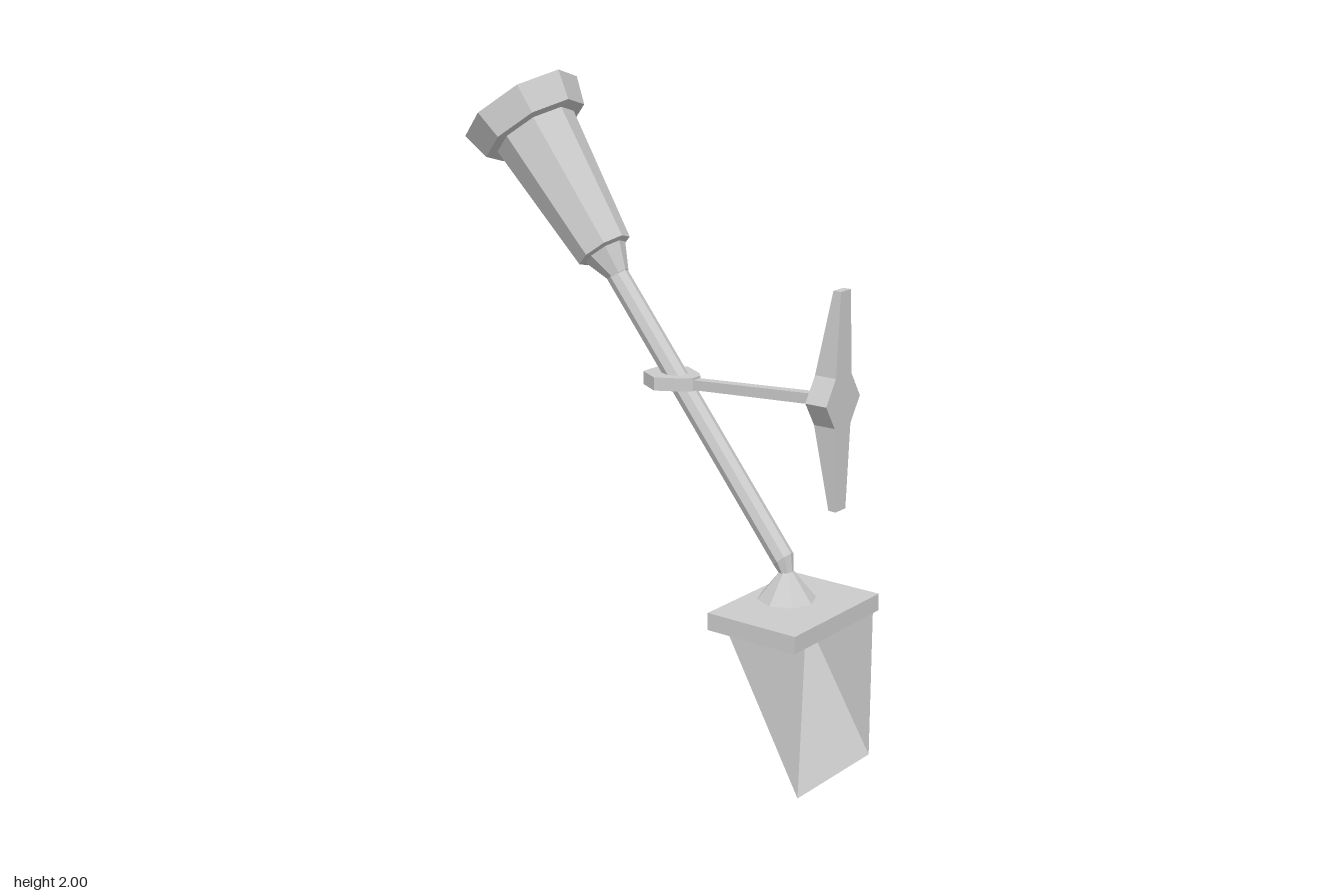
import * as THREE from 'three';

const V = (x, y, z) => new THREE.Vector3(x, y, z);
const material = new THREE.MeshStandardMaterial({ color: 0xcccccc, flatShading: true });
const openMaterial = new THREE.MeshStandardMaterial({ color: 0xcccccc, flatShading: true, side: THREE.DoubleSide });

function fromTriangles(points) {
  const geometry = new THREE.BufferGeometry().setFromPoints(points);
  geometry.computeVertexNormals();
  return geometry;
}

// Skin through matching rings (counter-clockwise seen from the last ring's end), capped at both ends
function loft(rings) {
  const out = [], n = rings[0].length, last = rings[rings.length - 1];
  for (let i = 0; i < rings.length - 1; i++) {
    for (let j = 0; j < n; j++) {
      const k = (j + 1) % n;
      const a = rings[i][j], b = rings[i][k], c = rings[i + 1][k], d = rings[i + 1][j];
      out.push(a, b, c, a, c, d);
    }
  }
  for (let j = 1; j < n - 1; j++) {
    out.push(rings[0][0], rings[0][j + 1], rings[0][j], last[0], last[j], last[j + 1]);
  }
  return fromTriangles(out);
}

// Octagonal ring centred at (x, y), leaning by tilt about z
function octagon(x, y, r, tilt) {
  return Array.from({ length: 8 }, (_, i) => {
    const t = (i * Math.PI) / 4;
    return V(r * Math.cos(t), 0, -r * Math.sin(t)).applyAxisAngle(V(0, 0, 1), tilt).add(V(x, y, 0));
  });
}

export function createModel() {
  const model = new THREE.Group();
  const add = (name, geometry, mat = material) => {
    const mesh = new THREE.Mesh(geometry, mat);
    mesh.name = name;
    model.add(mesh);
    return mesh;
  };
  const TILT = 0.674;

  // Flared cup with rim, recessed floor and lower neck; its local origin is the rim centre
  const cupProfile = [
    [0, -0.61], [0.033, -0.61], [0.068, -0.528], [0.087, -0.522], [0.132, -0.092],
    [0.17, -0.09], [0.194, 0], [0.18, 0], [0.147, -0.062], [0, -0.062],
  ].map(([r, y]) => new THREE.Vector2(r, y));
  const cup = add('torchCup', new THREE.LatheGeometry(cupProfile, 8));
  cup.position.set(-0.52, 1.88, 0);
  cup.rotation.z = TILT;

  // Slanted pole, bent upright where it meets its foot
  add('pole', loft([
    octagon(0.49, 0.59, 0.02, 0),
    octagon(0.476, 0.637, 0.034, TILT),
    octagon(-0.145, 1.405, 0.034, TILT),
  ]));
  const foot = add('poleFoot', new THREE.CylinderGeometry(0.02, 0.088, 0.085, 8));
  foot.position.set(0.49, 0.56, 0);

  // Hexagonal collar drawn out towards the arm
  const half = [[-0.013, 0.042], [0.06, 0.083], [0.133, 0.042], [0.155, 0.018]];
  const outline = [...half, ...half.map(([x, z]) => [x, -z]).reverse()];
  const collar = add('collar', new THREE.ExtrudeGeometry(
    new THREE.Shape(outline.map(([x, z]) => new THREE.Vector2(x, z))),
    { depth: 0.04, bevelEnabled: false }));
  collar.rotation.x = -Math.PI / 2;
  collar.position.y = 1.095;

  // Arm from collar to wall plate
  const armRing = (x, y, h, w) => [V(x, y + h, w), V(x, y - h, w), V(x, y - h, -w), V(x, y + h, -w)];
  add('arm', loft([armRing(0.14, 1.112, 0.015, 0.016), armRing(0.62, 1.144, 0.016, 0.016)]));

  // Wall plate, thick and pointed at the middle, thin at the ends: y, half width, front x
  add('wallPlate', loft([
    [0.825, 0.025, 0.645], [1.075, 0.04, 0.6], [1.147, 0.086, 0.6],
    [1.22, 0.04, 0.6], [1.465, 0.025, 0.645],
  ].map(([y, w, x]) => [V(0.67, y, -w), V(x, y, -w), V(x, y, w), V(0.67, y, w)])));

  // Shelf slab
  const slab = add('shelf', new THREE.BoxGeometry(0.305, 0.053, 0.44));
  slab.position.set(0.5175, 0.4815, 0);

  // Wedge bracket below the shelf, open towards the wall
  const fa = V(0.39, 0.457, 0.168), fb = V(0.67, 0.457, 0.168), fc = V(0.67, 0, 0.19);
  const ba = V(0.39, 0.457, -0.19), bb = V(0.67, 0.457, -0.19), bc = V(0.67, 0, -0.19);
  add('wedgeBracket', fromTriangles([
    fa, fc, fb, ba, bb, bc, fa, ba, bc, fa, bc, fc,
  ]), openMaterial);

  return model;
}
